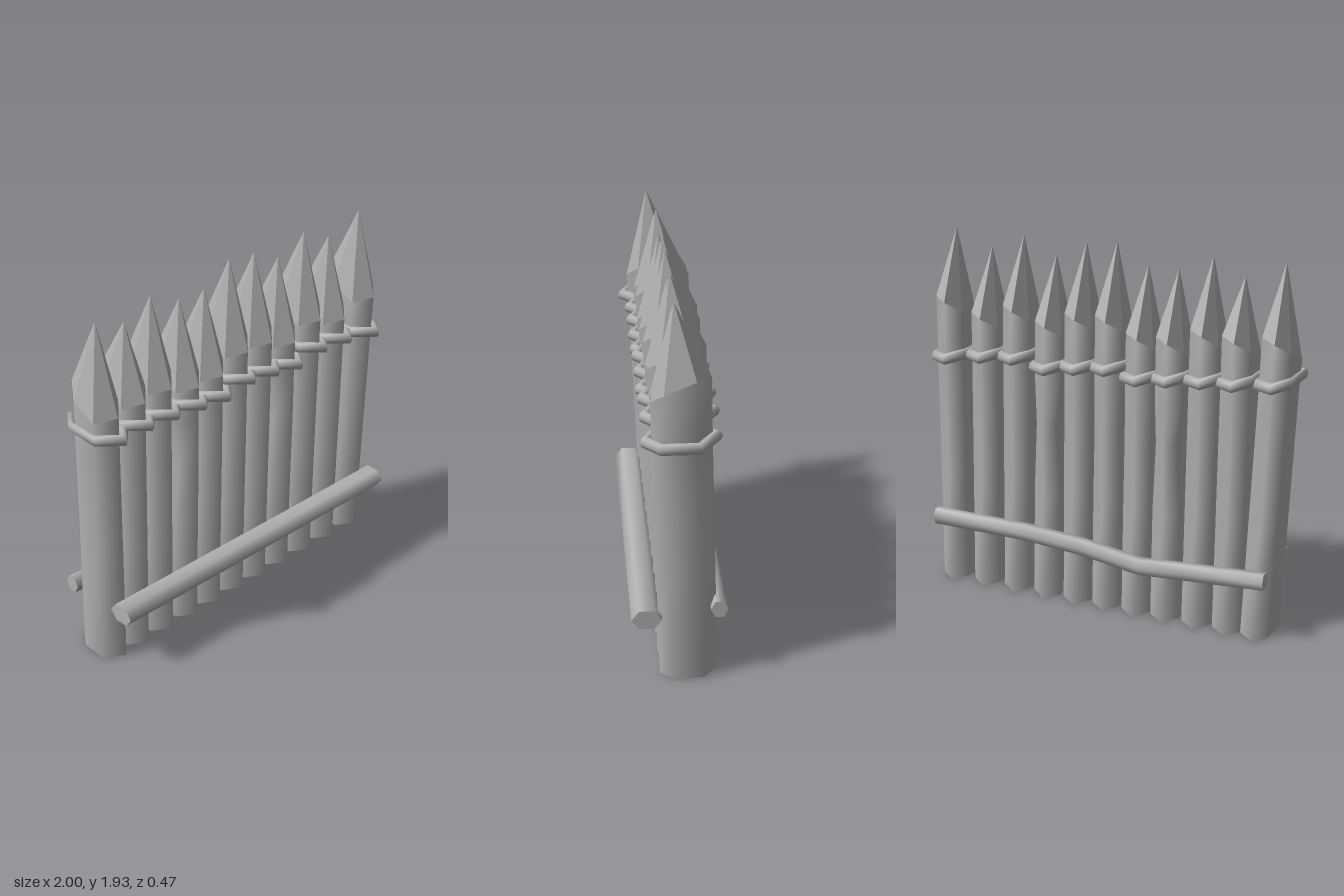
import * as THREE from 'three';
import { mergeVertices } from 'three/addons/utils/BufferGeometryUtils.js';

const wood = new THREE.MeshStandardMaterial({ color: 0xb2b2b2 });
wood.name = 'grey wood';

// Uneven six-sided post section as (x, z) offsets: back, right, front, left
const SECTION = [[-0.015, -0.145], [0.076, -0.07], [0.076, 0.08], [0.02, 0.14], [-0.08, 0.08], [-0.072, -0.065]];
const RAIL = [0, 1, 2, 3, 4, 5].map(i => [Math.cos(i * Math.PI / 3 + Math.PI / 6), Math.sin(i * Math.PI / 3 + Math.PI / 6)]);

// Skin rings of points, smooth along the sides with hard flat end caps
function loft(rings) {
  const n = rings[0].length;
  const pos = rings.flat(2);
  const idx = [];
  for (let r = 0; r < rings.length - 1; r++) {
    for (let i = 0; i < n; i++) {
      const a = r * n + i, b = r * n + (i + 1) % n;
      idx.push(a, a + n, b, b, a + n, b + n);
    }
  }
  [rings[0], rings[rings.length - 1]].forEach((ring, top) => {
    const s = pos.length / 3;
    pos.push(...ring.flat());
    for (let i = 1; i < n - 1; i++) idx.push(s, s + i + top, s + i + 1 - top);
  });
  const g = new THREE.BufferGeometry();
  g.setAttribute('position', new THREE.Float32BufferAttribute(pos, 3));
  g.setIndex(idx);
  g.computeVertexNormals();
  return g;
}

// Faceted point from a slanted shoulder ring to the tip
function spike(ring, tip) {
  const pos = [];
  ring.forEach((p, i) => pos.push(...p, ...tip, ...ring[(i + 1) % ring.length]));
  const g = new THREE.BufferGeometry();
  g.setAttribute('position', new THREE.Float32BufferAttribute(pos, 3));
  g.computeVertexNormals();
  return g;
}

// Rope band that follows the post section, sloping down to the right
function band(mirror) {
  const g = new THREE.TorusGeometry(1, 0.2, 8, 6);
  const p = g.attributes.position, uv = g.attributes.uv;
  for (let k = 0; k < p.count; k++) {
    const [sx, sz] = SECTION[Math.round(uv.getX(k) * 6) % 6];
    const v = uv.getY(k) * Math.PI * 2;
    const s = 1.16 + 0.2 * Math.cos(v);
    p.setXYZ(k, sx * s, -0.03 * Math.sin(v) - 0.15 * sx * s, sz * s);
  }
  g.deleteAttribute('uv');
  g.deleteAttribute('normal');
  const m = mergeVertices(g, 1e-4);
  m.computeVertexNormals();
  return m;
}

// Bent rail through [x, y, z] stations
function rail(stations, ry, rz) {
  const g = loft(stations.map(([x, y, z]) => RAIL.map(([u, v]) => [-y + u * ry, x, z + v * rz])));
  return g.rotateZ(-Math.PI / 2);
}

// Base x, top x, shoulder height, tip height, band height, waist narrowing, top z
const POSTS = [
  [-0.855, -0.9, 1.49, 1.91, 1.33, 1, 0.02],
  [-0.7, -0.705, 1.48, 1.83, 1.322, 1, -0.01],
  [-0.53, -0.538, 1.49, 1.91, 1.312, 1, -0.01],
  [-0.355, -0.357, 1.43, 1.83, 1.295, 0.76, -0.01],
  [-0.19, -0.194, 1.43, 1.83, 1.278, 0.96, -0.01],
  [-0.02, -0.024, 1.5, 1.93, 1.308, 0.92, -0.01],
  [0.15, 0.146, 1.49, 1.91, 1.29, 1, -0.01],
  [0.325, 0.315, 1.43, 1.83, 1.265, 0.76, -0.01],
  [0.505, 0.5, 1.49, 1.91, 1.295, 1, -0.01],
  [0.69, 0.686, 1.43, 1.83, 1.28, 1, -0.01],
  [0.882, 0.9, 1.49, 1.91, 1.245, 1, 0]
];

export function createModel() {
  const fence = new THREE.Group();
  fence.name = 'palisade';
  const add = (parent, name, geometry) => {
    const m = new THREE.Mesh(geometry, wood);
    m.name = name;
    parent.add(m);
    return m;
  };
  const bandGeometry = band();

  POSTS.forEach(([x0, x1, shoulder, tipY, bandY, waist, z1], i) => {
    const post = new THREE.Group();
    post.name = 'post' + (i + 1);
    const z0 = -0.045;
    const ringAt = (t, s) => SECTION.map(([dx, dz]) => [
      x0 + (x1 - x0) * t + dx * s + (1 - s) * 0.03, shoulder * t, z0 + (z1 - z0) * t + dz]);
    // Shoulder ring is cut on a slant, low at the front and high at the back right
    const top = SECTION.map(([dx, dz]) => [x1 + dx, shoulder - 0.42 * dz + 0.45 * dx, z1 + dz]);
    add(post, 'shaft', loft([ringAt(0, 1), ringAt(0.4, 1), ringAt(0.66, waist), ringAt(0.83, 1), top]));
    add(post, 'spike', spike(top, [x1 - 0.002, tipY, z1 + 0.03]));
    const t = bandY / shoulder;
    add(post, 'ropeBand', bandGeometry)
      .position.set(x0 + (x1 - x0) * t, bandY, z0 + (z1 - z0) * t + 0.005);
    fence.add(post);
  });

  // Horizontal rails: straight in front, crooked behind
  add(fence, 'frontRail', rail(
    [[-0.91, 0.327, 0.16], [0.3, 0.325, 0.16], [0.955, 0.327, 0.16]], 0.055, 0.074));
  add(fence, 'backRail', rail(
    [[-0.93, 0.345, -0.19], [-0.5, 0.315, -0.19], [-0.25, 0.297, -0.19], [0.08, 0.345, -0.19],
      [0.4, 0.367, -0.19], [0.945, 0.367, -0.19]], 0.048, 0.042));
  return fence;
}
